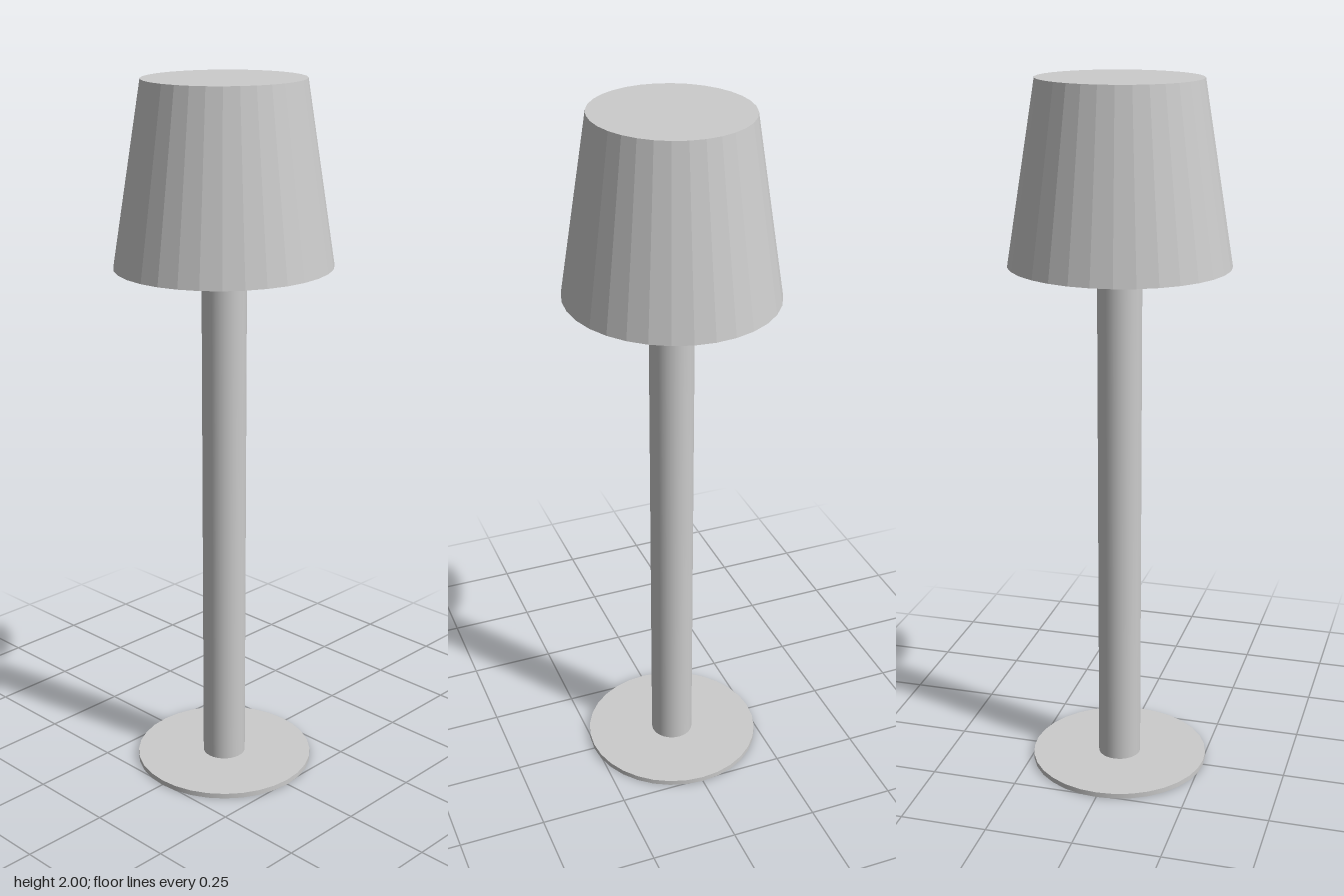
import * as THREE from 'three';

const SIDES = 32;

export function createModel() {
  const lamp = new THREE.Group();
  lamp.name = 'floorLamp';

  const smooth = new THREE.MeshStandardMaterial({ color: 0xcccccc });
  const faceted = new THREE.MeshStandardMaterial({
    color: 0xcccccc, flatShading: true, side: THREE.DoubleSide,
  });

  const add = (name, geometry, material, y, scaleX = 1, scaleZ = 1) => {
    const mesh = new THREE.Mesh(geometry, material);
    mesh.name = name;
    mesh.position.y = y;
    mesh.scale.set(scaleX, 1, scaleZ);
    lamp.add(mesh);
  };

  // Thin round foot
  add('base', new THREE.CylinderGeometry(0.258, 0.258, 0.015, SIDES), smooth, 0.0075);

  // Straight pole, running up inside the shade
  const poleBottom = 0.015, poleTop = 1.98;
  add('pole', new THREE.CylinderGeometry(0.062, 0.062, poleTop - poleBottom, SIDES),
    smooth, (poleBottom + poleTop) / 2);

  // Slightly oval tapered shade: thin wall, open below, closed on top
  const ovalX = 0.293, ovalZ = 0.308, taper = 0.735;
  add('shade', new THREE.CylinderGeometry(taper, 1, 0.5, SIDES, 1, true), faceted, 1.75, ovalX, ovalZ);
  add('shadeTop', new THREE.CircleGeometry(taper, SIDES).rotateX(-Math.PI / 2), faceted, 2, ovalX, ovalZ);

  return lamp;
}
